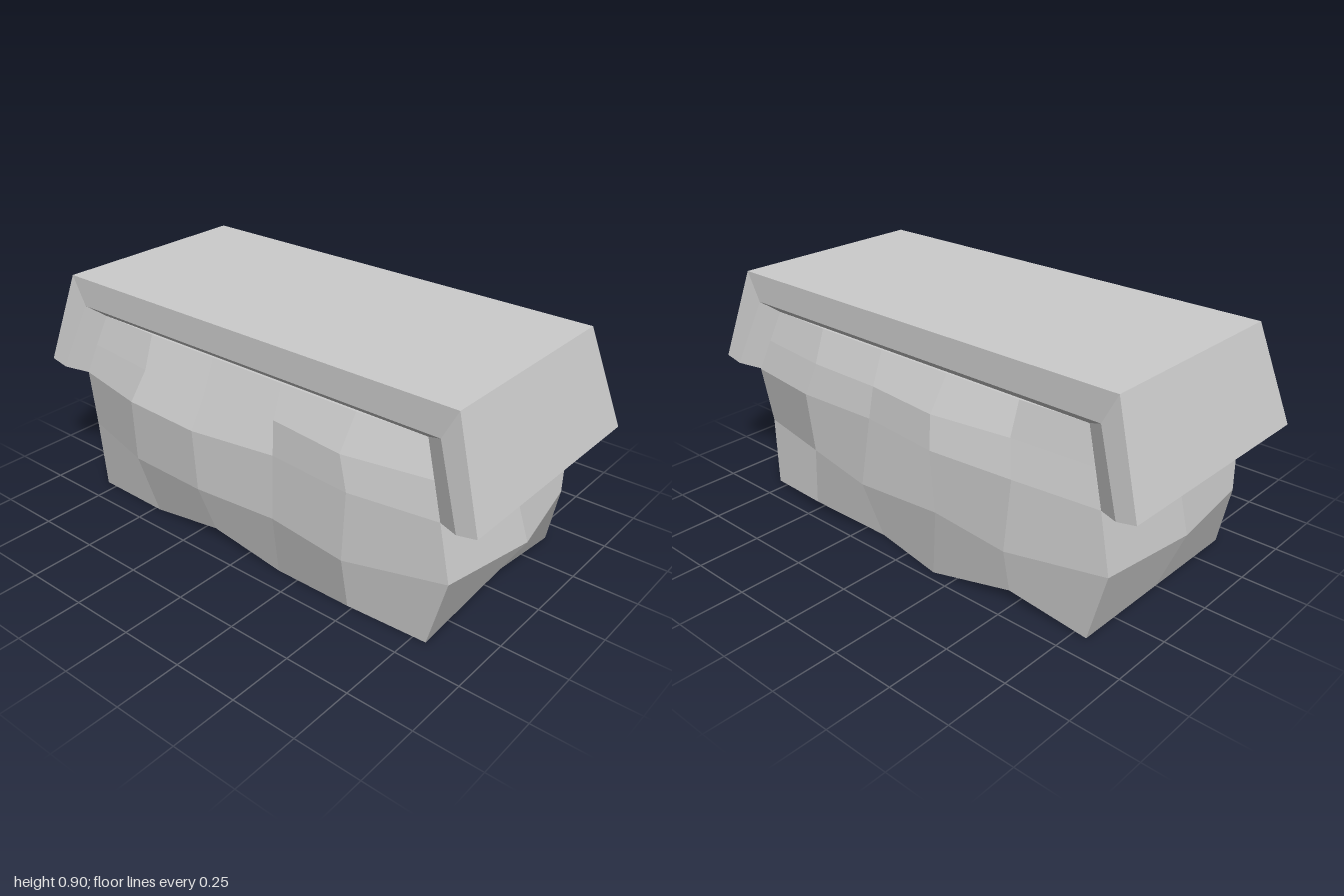
import * as THREE from 'three';

// Gives each four-sided facet (triangles a,b,d and b,c,d) one flat normal.
function facetNormals(geometry) {
  const p = geometry.attributes.position;
  const at = (i) => new THREE.Vector3().fromBufferAttribute(p, i);
  const normals = [];
  for (let i = 0; i < p.count; i += 6) {
    const across = at(i + 4).sub(at(i));
    const n = across.cross(at(i + 2).sub(at(i + 1))).normalize();
    for (let k = 0; k < 6; k++) normals.push(n.x, n.y, n.z);
  }
  geometry.setAttribute('normal', new THREE.Float32BufferAttribute(normals, 3));
  return geometry;
}

// Rough-hewn stone block: a subdivided box pushed out row by row.
function stoneBody() {
  const rowY = [0, 0.25, 0.5, 0.625, 0.75];
  // Half widths per row, running from front to back.
  const leftX = [
    [0.405, 0.465, 0.41, 0.465, 0.42, 0.405],
    [0.365, 0.43, 0.493, 0.46, 0.49, 0.385],
    [0.42, 0.46, 0.445, 0.48, 0.45, 0.415],
    [0.395, 0.43, 0.43, 0.46, 0.415, 0.395],
    [0.37, 0.38, 0.38, 0.38, 0.38, 0.37],
  ];
  const rightX = [
    [0.395, 0.41, 0.41, 0.41, 0.41, 0.405],
    [0.375, 0.49, 0.45, 0.48, 0.47, 0.38],
    [0.415, 0.465, 0.44, 0.495, 0.48, 0.415],
    [0.395, 0.455, 0.42, 0.435, 0.43, 0.395],
    [0.37, 0.38, 0.38, 0.38, 0.38, 0.37],
  ];
  // Half lengths per row: side columns, corners, middle of front and back.
  const sideZ = [0.8, 0.855, 0.85, 0.79, 0.8];
  const cornerZ = [0.8, 0.86, 0.84, 0.795, 0.75];
  const frontZ = [0.8, 0.93, 0.845, 0.795, 0.75];
  const backZ = [0.8, 0.905, 0.845, 0.795, 0.75];

  const geometry = new THREE.BoxGeometry(2, 4, 2, 2, 4, 5).toNonIndexed();
  const p = geometry.attributes.position;
  for (let i = 0; i < p.count; i++) {
    const side = Math.round(p.getX(i));
    const row = Math.round(p.getY(i) + 2);
    const col = Math.round((1 - p.getZ(i)) * 2.5);
    const x = side > 0 ? leftX[row][col] : side < 0 ? -rightX[row][col] : 0;
    let halfLength = sideZ;
    if (col === 0) halfLength = side ? cornerZ : frontZ;
    if (col === 5) halfLength = side ? cornerZ : backZ;
    // Chipped spots along the bottom edge.
    const chipped = row === 0 && (
      (side > 0 && (col === 1 || col === 4)) ||
      (side < 0 && col === 3) ||
      (side === 0 && col === 0));
    p.setXYZ(i, x, chipped ? 0.047 : rowY[row], (1 - col * 0.4) * halfLength[row]);
  }
  return facetNormals(geometry);
}

// Cap: an inverted U with splayed end flaps and a bevelled inner edge.
function capSlab() {
  // Half profiles [half width, y, z]: flap bottom, then top.
  const outer = [[0.46, 0.53, 1], [0.41, 0.897, 0.88]];
  const edge = [[0.46, 0.515, 0.925], [0.41, 0.785, 0.82]];
  const inner = [[0.415, 0.5, 0.84], [0.37, 0.75, 0.75]];
  const loop = ([flap, top], s) => [
    [s * flap[0], flap[1], flap[2]], [s * top[0], top[1], top[2]],
    [s * top[0], top[1], -top[2]], [s * flap[0], flap[1], -flap[2]],
  ];
  const loops = [
    loop(outer, 1), loop(edge, 1), loop(inner, 1),
    loop(inner, -1), loop(edge, -1), loop(outer, -1),
  ];
  const vertices = [];
  const quad = (a, b, c, d) => vertices.push(...a, ...b, ...d, ...b, ...c, ...d);

  // Skin between neighbouring loops.
  loops.forEach((here, k) => {
    const next = loops[(k + 1) % loops.length];
    for (let i = 0; i < 3; i++) quad(here[i], next[i], next[i + 1], here[i + 1]);
  });
  // Undersides of the two flaps.
  for (let k = 0; k < 2; k++) {
    const [a, b, c, d] = [loops[k], loops[5 - k], loops[4 - k], loops[k + 1]];
    quad(a[0], b[0], c[0], d[0]);
    quad(d[3], c[3], b[3], a[3]);
  }
  const geometry = new THREE.BufferGeometry();
  geometry.setAttribute('position', new THREE.Float32BufferAttribute(vertices, 3));
  return facetNormals(geometry);
}

export function createModel() {
  const group = new THREE.Group();
  group.name = 'cappedStoneBlock';
  const material = new THREE.MeshStandardMaterial({ color: 0xcccccc });

  const body = new THREE.Mesh(stoneBody(), material);
  body.name = 'stoneBody';
  const cap = new THREE.Mesh(capSlab(), material);
  cap.name = 'cap';
  group.add(body, cap);

  return group;
}
